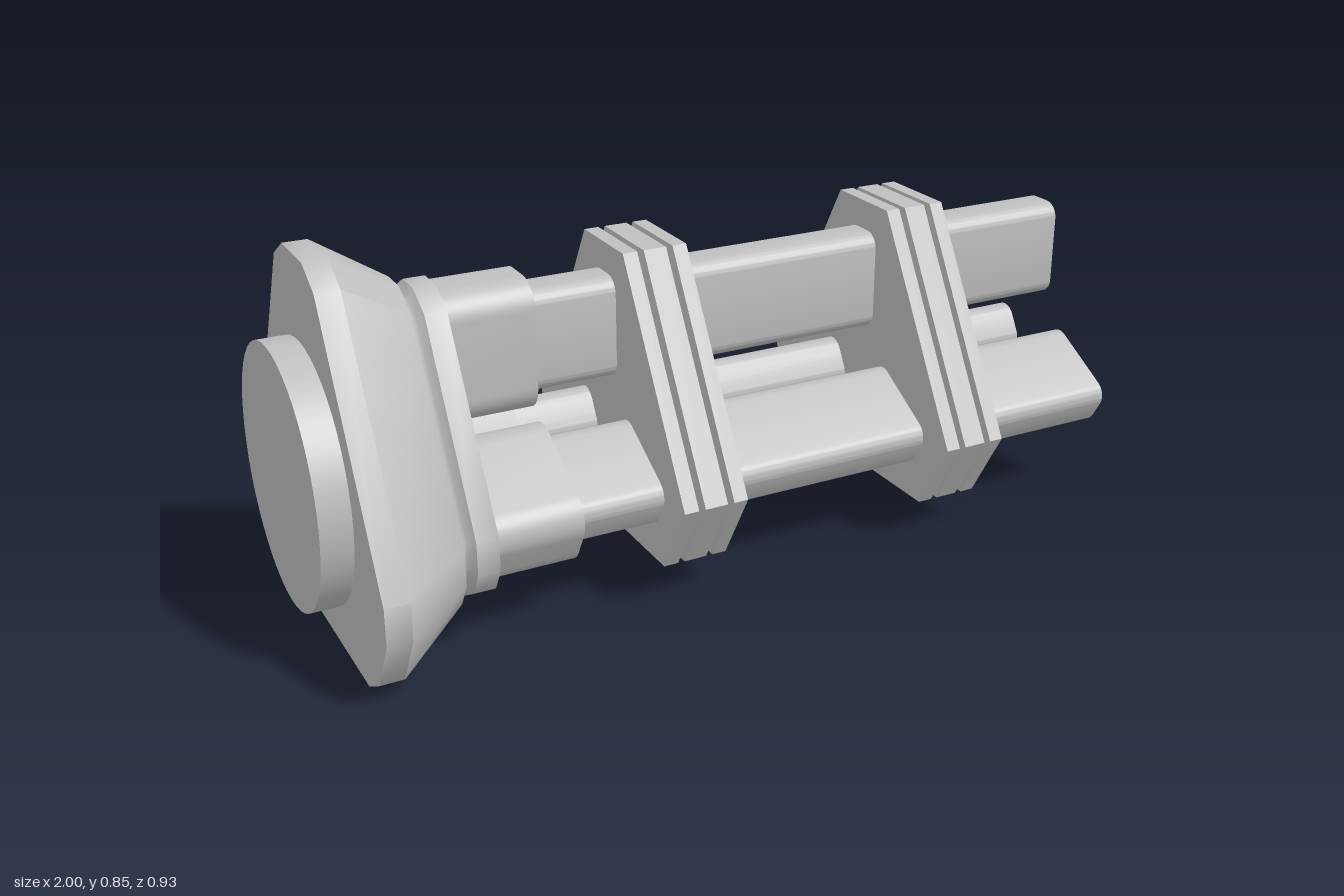
import * as THREE from 'three';
import { toCreasedNormals } from 'three/addons/utils/BufferGeometryUtils.js';

const STEP = Math.PI / 6;
const CREASE = 0.55;

// Corners [y, z] of a three-fold polygon, from the distance of each side to the axis.
function section({ tip, long, chamfer }) {
  const sides = [];
  for (let k = 0; k < 12; k++) {
    if (k % 2 === 0) sides.push([k * STEP, k % 4 === 0 ? tip : long]);
    else if (chamfer) sides.push([k * STEP, chamfer]);
  }
  return sides.map(([t1, a1], i) => {
    const [t2, a2] = sides[(i + 1) % sides.length];
    const det = Math.sin(t2 - t1);
    return [
      (a1 * Math.sin(t2) - a2 * Math.sin(t1)) / det,
      (a2 * Math.cos(t1) - a1 * Math.cos(t2)) / det,
    ];
  });
}

// Capped solid through cross-sections placed along x.
function loft(rings) {
  const pos = [];
  const loops = rings.map((r) =>
    section(r).map(([y, z]) => [r.x, r.y + y, z]));
  const tri = (...p) => p.forEach((v) => pos.push(...v));
  const n = loops[0].length;
  const last = rings.length - 1;
  for (let i = 0; i < n; i++) {
    const j = (i + 1) % n;
    for (let s = 0; s < last; s++) {
      const a = loops[s], b = loops[s + 1];
      tri(a[i], a[j], b[i]);
      tri(a[j], b[j], b[i]);
    }
    tri([rings[0].x, rings[0].y, 0], loops[0][j], loops[0][i]);
    tri([rings[last].x, rings[last].y, 0], loops[last][i], loops[last][j]);
  }
  const g = new THREE.BufferGeometry();
  g.setAttribute('position', new THREE.Float32BufferAttribute(pos, 3));
  return toCreasedNormals(g, CREASE);
}

function roundedRect(target, w, h, r) {
  const x = w / 2, y = h / 2;
  target.moveTo(-x + r, -y);
  target.lineTo(x - r, -y);
  target.absarc(x - r, -y + r, r, -Math.PI / 2, 0);
  target.lineTo(x, y - r);
  target.absarc(x - r, y - r, r, 0, Math.PI / 2);
  target.lineTo(-x + r, y);
  target.absarc(-x + r, y - r, r, Math.PI / 2, Math.PI);
  target.lineTo(-x, -y + r);
  target.absarc(-x + r, -y + r, r, Math.PI, Math.PI * 1.5);
  return target;
}

// Extrudes a shape along x between two stations.
function extrudeX(shape, x0, x1) {
  const g = new THREE.ExtrudeGeometry(shape, {
    depth: x1 - x0, bevelEnabled: false, curveSegments: 6,
  });
  g.rotateY(Math.PI / 2);
  g.translate(x0, 0, 0);
  return toCreasedNormals(g, CREASE);
}

export function createModel() {
  const model = new THREE.Group();
  model.name = 'tripleBarrelAssembly';
  const metal = new THREE.MeshStandardMaterial({ color: 0xbfbfbf });
  metal.name = 'grey metal';

  const add = (name, geometry, parent = model) => {
    const mesh = new THREE.Mesh(geometry, metal);
    mesh.name = name;
    parent.add(mesh);
    return mesh;
  };

  // Round mounting disc at the rear
  const disc = new THREE.CylinderGeometry(0.296, 0.296, 0.08, 48);
  disc.rotateZ(Math.PI / 2);
  disc.translate(-0.96, 0.36, 0);
  add('mountingDisc', disc);

  // Tapered housing with a groove and a front collar
  add('housing', loft([
    { x: -0.93, y: 0.355, tip: 0.495, long: 0.355, chamfer: 0.466 },
    { x: -0.875, y: 0.355, tip: 0.495, long: 0.355, chamfer: 0.466 },
    { x: -0.72, y: 0.365, tip: 0.39, long: 0.265, chamfer: 0.355 },
    { x: -0.712, y: 0.367, tip: 0.355, long: 0.235, chamfer: 0.325 },
    { x: -0.705, y: 0.368, tip: 0.357, long: 0.237, chamfer: 0.327 },
    { x: -0.69, y: 0.368, tip: 0.377, long: 0.255, chamfer: 0.343 },
    { x: -0.64, y: 0.368, tip: 0.377, long: 0.255, chamfer: 0.343 },
  ]));

  // Two clamps, each a stack of three plates parted by V grooves: [offset, inset]
  const clampProfile = [
    [0, 0], [0.035, 0], [0.043, 0.025], [0.051, 0],
    [0.106, 0], [0.114, 0.025], [0.122, 0], [0.156, 0],
  ];
  [['rearClamp', -0.233], ['frontClamp', 0.456]].forEach(([name, x]) => {
    add(name, loft(clampProfile.map(([dx, inset]) => ({
      x: x + dx, y: 0.375, tip: 0.395 - inset, long: 0.285 - inset,
    }))));
  });

  // Three hollow barrels with sleeves, spaced evenly around the axis
  const tube = roundedRect(new THREE.Shape(), 0.122, 0.24, 0.038);
  tube.holes.push(roundedRect(new THREE.Path(), 0.084, 0.2, 0.02));
  const tubeGeometry = extrudeX(tube, -0.64, 1);
  const sleeveGeometry = extrudeX(
    roundedRect(new THREE.Shape(), 0.19, 0.305, 0.065), -0.65, -0.44);
  ['top', 'front', 'back'].forEach((side, k) => {
    const barrel = new THREE.Group();
    barrel.name = side + 'Barrel';
    barrel.position.y = 0.379;
    barrel.rotation.x = (k * Math.PI * 2) / 3;
    add('tube', tubeGeometry, barrel).position.y = 0.201;
    add('sleeve', sleeveGeometry, barrel).position.y = 0.201;
    model.add(barrel);
  });

  return model;
}
